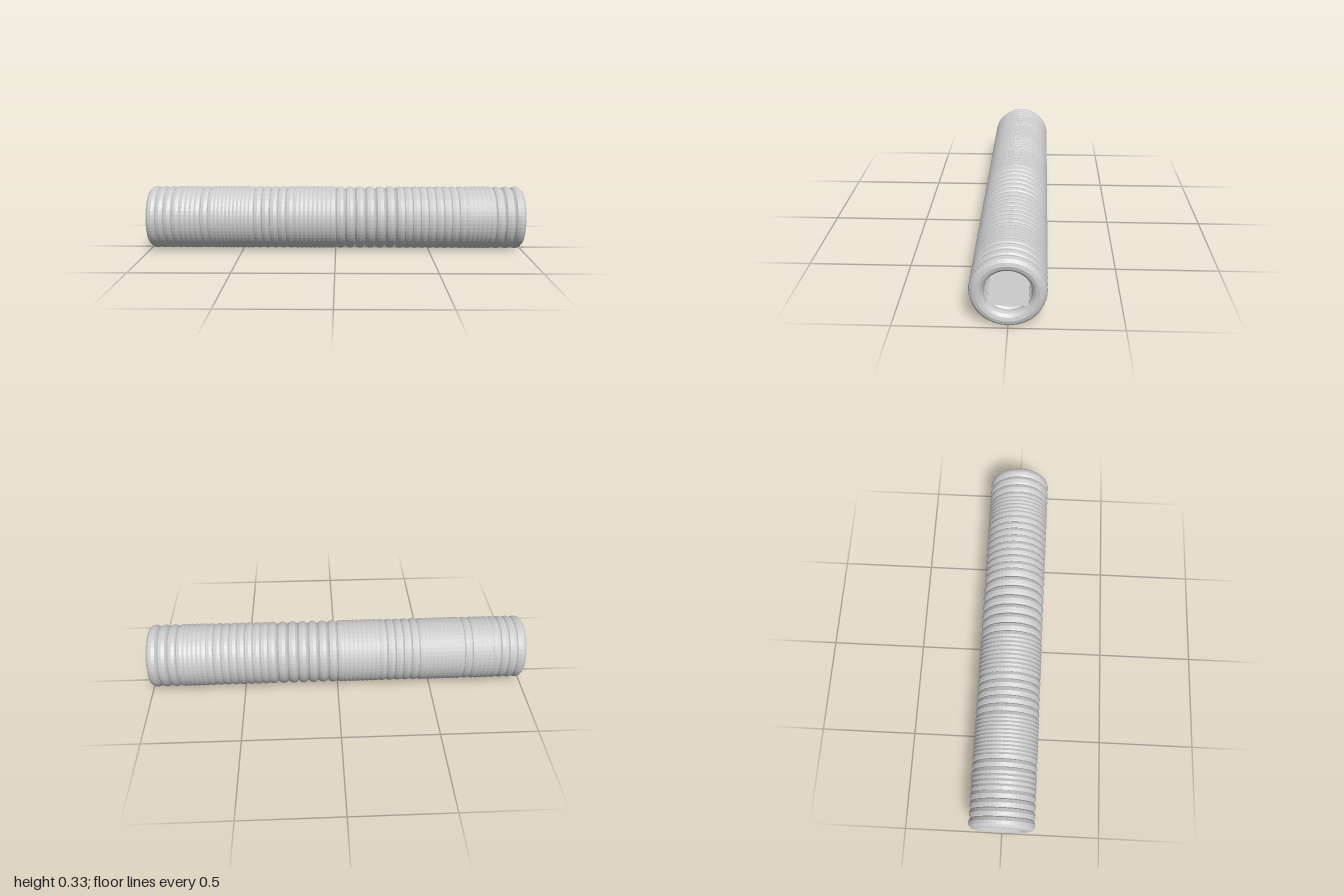
import * as THREE from 'three';

const RING_RADIUS = 0.134;
const TUBE_RADIUS = 0.033;
const AXIS_Y = RING_RADIUS + TUBE_RADIUS;

// Runs of rings along x: [first centre, last centre, number of rings]
const RUNS = [
  [-0.967, -0.84, 4],   // loose left end
  [-0.805, -0.73, 4],   // tightly packed
  [-0.69, -0.69, 1],
  [-0.65, -0.45, 11],   // tightly packed
  [-0.41, -0.24, 5],
  [-0.205, -0.02, 9],   // tightly packed
  [0.025, 0.077, 2],
  [0.13, 0.345, 5],     // widest spacing
  [0.385, 0.67, 8],
  [0.705, 0.82, 6],     // tightly packed
  [0.865, 0.967, 3],    // loose right end
];

export function createModel() {
  const model = new THREE.Group();
  model.name = 'ringStack';
  const grey = new THREE.MeshStandardMaterial({ color: 0xcccccc, flatShading: true });

  // Rings threaded along the x axis
  const rings = new THREE.Group();
  rings.name = 'rings';
  const ringGeometry = new THREE.TorusGeometry(RING_RADIUS, TUBE_RADIUS, 12, 48).rotateY(Math.PI / 2);
  for (const [start, end, count] of RUNS) {
    for (let i = 0; i < count; i++) {
      const ring = new THREE.Mesh(ringGeometry, grey);
      ring.name = 'ring';
      ring.position.set(count > 1 ? start + ((end - start) * i) / (count - 1) : start, AXIS_Y, 0);
      rings.add(ring);
    }
  }
  model.add(rings);

  // Thin flat strip lying inside the bore along its whole length
  const strip = new THREE.Mesh(
    new THREE.PlaneGeometry(2, 0.174).rotateX(-Math.PI / 2),
    new THREE.MeshStandardMaterial({ color: 0xcccccc, side: THREE.DoubleSide })
  );
  strip.name = 'innerStrip';
  strip.position.y = AXIS_Y - 0.052;
  model.add(strip);

  return model;
}
